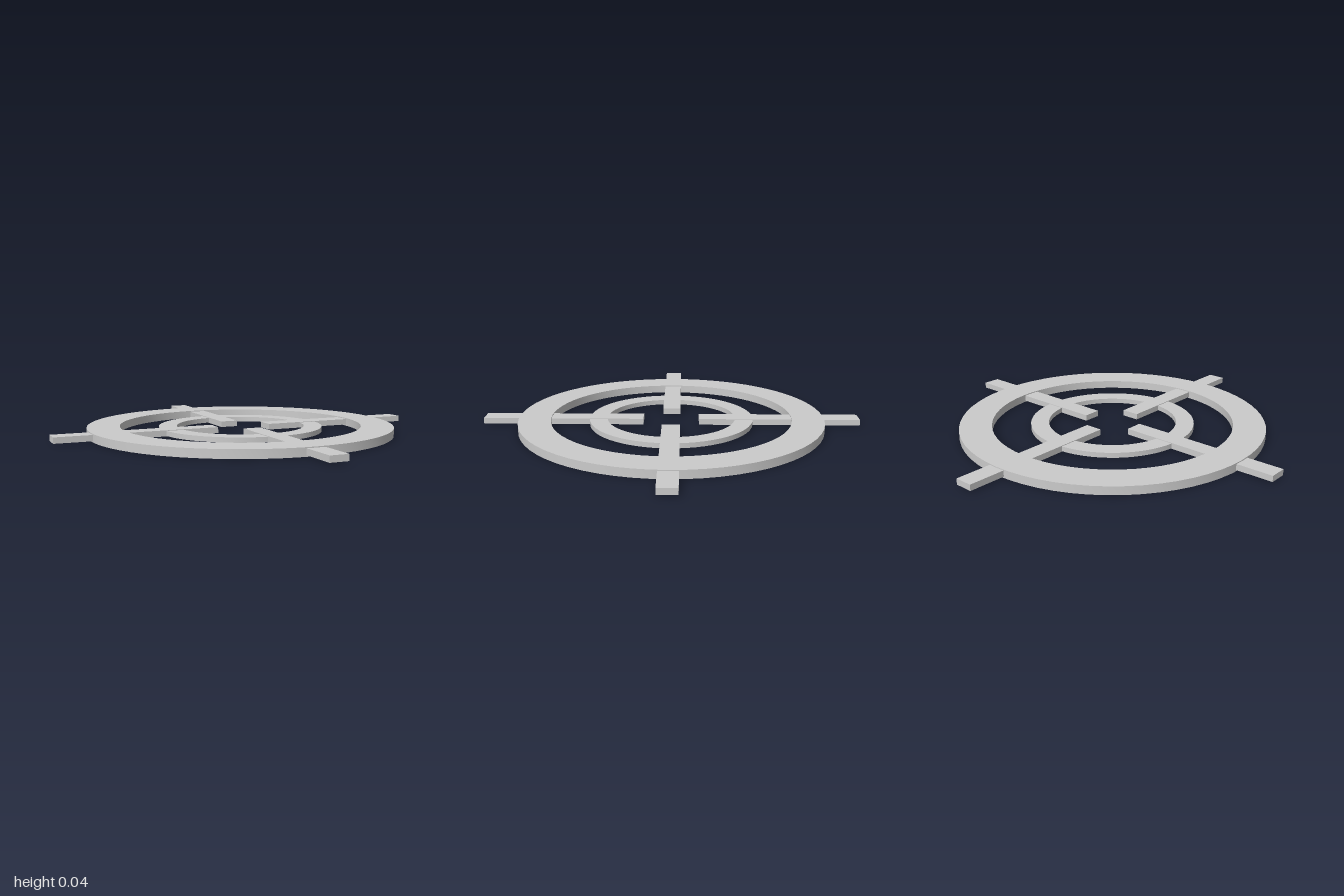
import * as THREE from 'three';
import { toCreasedNormals } from 'three/addons/utils/BufferGeometryUtils.js';

const material = new THREE.MeshStandardMaterial({ color: 0xcccccc });

// Flat 32-sided ring lying on the ground plane, with smooth walls and sharp rims
function makeRing(name, outer, inner, bottom, top) {
  const shape = new THREE.Shape().absarc(0, 0, outer, 0, Math.PI * 2, false);
  shape.holes.push(new THREE.Path().absarc(0, 0, inner, 0, Math.PI * 2, true));
  const geometry = new THREE.ExtrudeGeometry(shape, {
    depth: top - bottom, bevelEnabled: false, curveSegments: 32,
  });
  geometry.rotateX(-Math.PI / 2).translate(0, bottom, 0);
  const mesh = new THREE.Mesh(toCreasedNormals(geometry, 0.6), material);
  mesh.name = name;
  return mesh;
}

export function createModel() {
  const group = new THREE.Group();
  group.name = 'crosshair';

  // Concentric rings
  group.add(makeRing('outerRing', 0.81, 0.64, 0, 0.043));
  group.add(makeRing('innerRing', 0.435, 0.34, 0.009, 0.035));

  // Four radial bars, open in the middle
  const barStart = 0.148, barEnd = 1;
  const barGeometry = new THREE.BoxGeometry(barEnd - barStart, 0.031, 0.095);
  barGeometry.translate((barStart + barEnd) / 2, 0.0225, 0);
  ['leftBar', 'backBar', 'rightBar', 'frontBar'].forEach((name, i) => {
    const bar = new THREE.Mesh(barGeometry, material);
    bar.name = name;
    bar.rotation.y = i * Math.PI / 2;
    group.add(bar);
  });

  return group;
}
